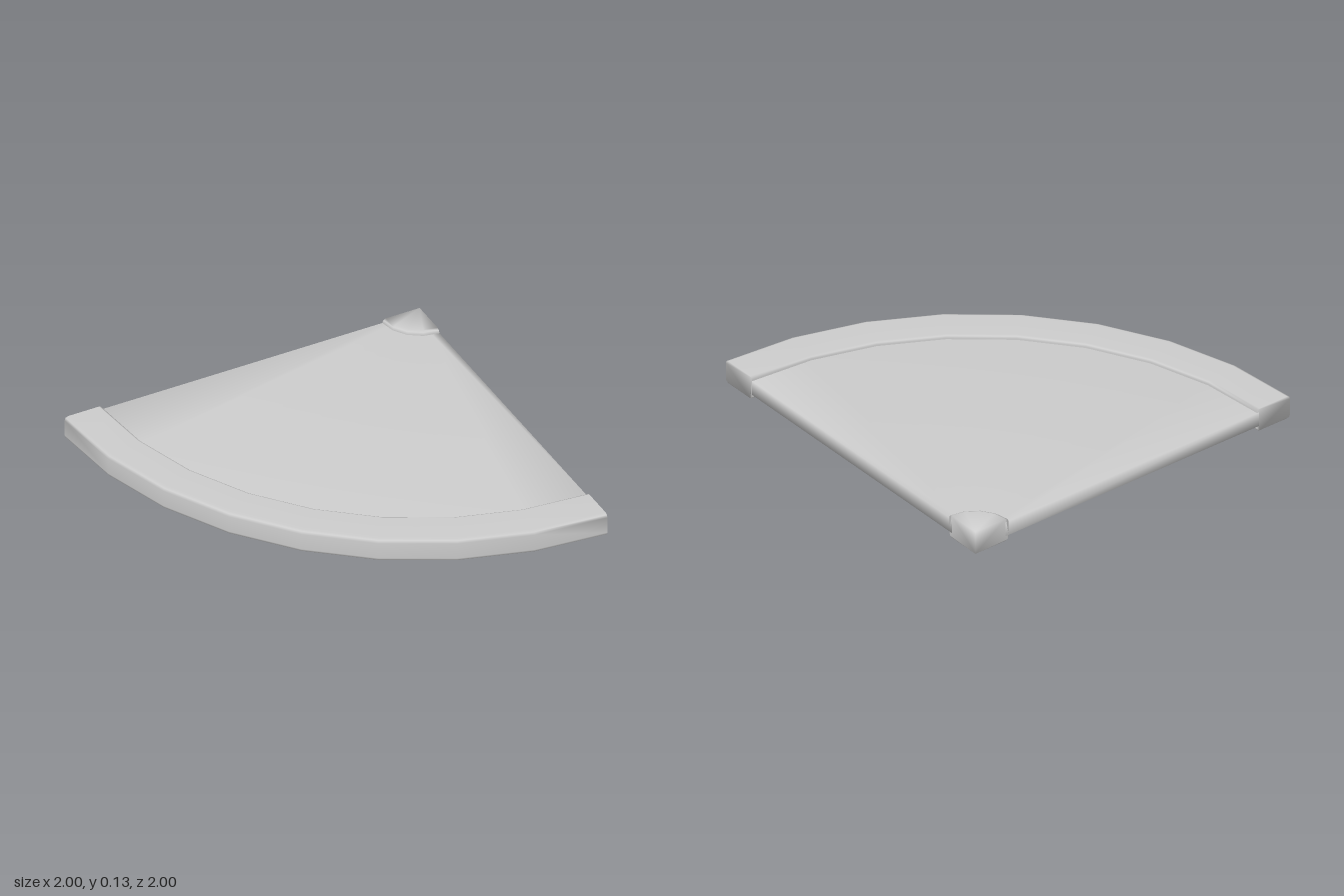
import * as THREE from 'three';
import { mergeGeometries, mergeVertices } from 'three/addons/utils/BufferGeometryUtils.js';

const material = new THREE.MeshStandardMaterial({ color: 0xcccccc });

// Chamfered cross-section in (radius, height), bottom to outside to top to inside
function section(r0, r1, y0, y1, inner, outer) {
  const pts = [];
  const corner = (r, y, sr, sy, c, first) => {
    if (!c) return pts.push(new THREE.Vector2(r, y));
    const flat = [r + sr * c, y], mid = [r + sr * c * 0.3, y + sy * c * 0.3], up = [r, y + sy * c];
    for (const p of first ? [flat, mid, up] : [up, mid, flat]) pts.push(new THREE.Vector2(...p));
  };
  corner(r0, y0, 1, 1, inner, false);
  corner(r1, y0, -1, 1, outer, true);
  corner(r1, y1, -1, -1, outer, false);
  corner(r0, y1, 1, -1, inner, true);
  return pts;
}

// Quarter-turn sweep of a cross-section, closed by a flat cap at each end
function quarter(name, pts, segments) {
  const sweep = new THREE.LatheGeometry([...pts, pts[0].clone()], segments, -Math.PI / 2, Math.PI / 2);
  const backCap = new THREE.ShapeGeometry(new THREE.Shape(pts)).rotateY(Math.PI);
  const sideCap = new THREE.ShapeGeometry(new THREE.Shape(pts)).rotateY(-Math.PI / 2);
  sideCap.index.array.reverse();
  const parts = [sweep, backCap, sideCap];
  for (const g of parts) {
    g.deleteAttribute('normal');
    g.deleteAttribute('uv');
  }
  // Shared vertices give the soft shading that runs across the edges
  const geometry = mergeVertices(mergeGeometries(parts), 1e-4);
  geometry.computeVertexNormals();
  const mesh = new THREE.Mesh(geometry, material);
  mesh.name = name;
  mesh.position.set(1, 0, -1); // pivot of the quarter circle
  return mesh;
}

export function createModel() {
  const group = new THREE.Group();
  group.name = 'quarterRoundPlate';
  group.add(
    // Raised curved border
    quarter('rim', section(1.79, 2, 0, 0.13, 0.015, 0.02), 8),
    // Thinner plate, recessed above and below
    quarter('panel', section(0.19, 1.8, 0.027, 0.108, 0, 0), 8),
    // Raised block at the square corner
    quarter('cornerBlock', section(0, 0.21, 0, 0.13, 0, 0.02), 4),
  );
  return group;
}
